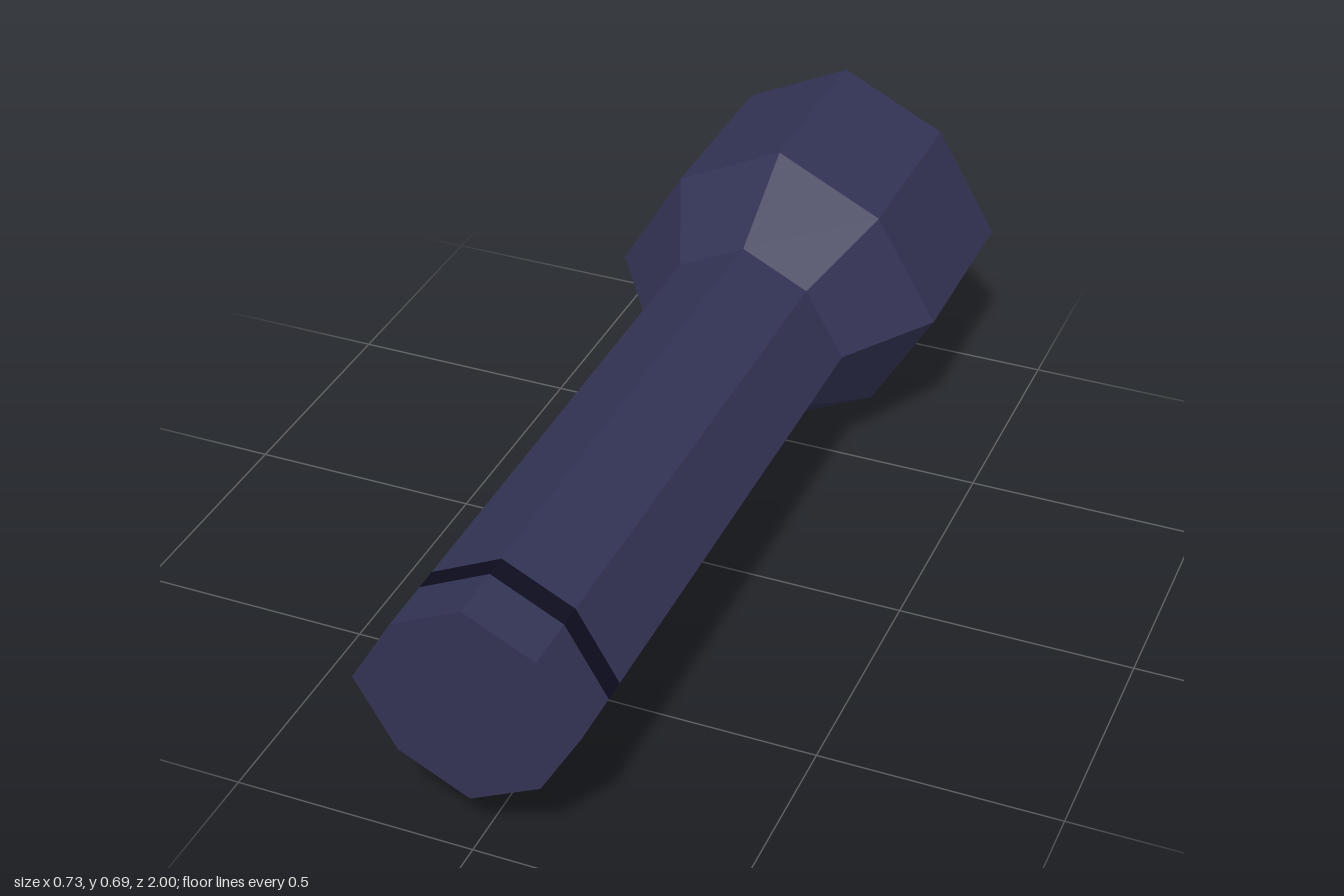
import * as THREE from 'three';

const CENTER_Y = 0.344;
// Unit octagon, slightly narrowed on its diagonals, counter-clockwise from +z
const OCTAGON = [[1, 0], [0.63, 0.67], [0, 1], [-0.63, 0.67], [-1, 0], [-0.63, -0.67], [0, -1], [0.63, -0.67]];
const BODY = [0.23, 0.217];
const HEAD = [0.366, 0.343];

const material = (name, color) => {
  const m = new THREE.MeshStandardMaterial({ color, flatShading: true });
  m.name = name;
  return m;
};

// Open eight-sided wall between a front and a back section
function wall(front, zFront, back, zBack) {
  const ring = (size, z) => OCTAGON.map(([x, y]) => [x * size[0], y * size[1], z]);
  const f = ring(front, zFront), b = ring(back, zBack), positions = [];
  for (let i = 0; i < 8; i++) {
    const j = (i + 1) % 8;
    positions.push(...f[i], ...b[i], ...f[j], ...f[j], ...b[i], ...b[j]);
  }
  const g = new THREE.BufferGeometry();
  g.setAttribute('position', new THREE.Float32BufferAttribute(positions, 3));
  g.computeVertexNormals();
  return g;
}

// Flat octagonal end, facing +z
function cap(size) {
  return new THREE.ShapeGeometry(new THREE.Shape(
    OCTAGON.map(([x, y]) => new THREE.Vector2(x * size[0], y * size[1]))));
}

export function createModel() {
  const casing = material('dark blue casing', 0x333355);
  const black = material('black band', 0x0d0d20);
  const glass = material('pale lens', 0xd8d8d8);

  const model = new THREE.Group();
  model.name = 'flashlight';
  const add = (name, geometry, mat) => {
    const mesh = new THREE.Mesh(geometry, mat);
    mesh.name = name;
    mesh.position.y = CENTER_Y;
    model.add(mesh);
  };

  // Handle with the band set flush near its end
  add('endCap', cap(BODY).translate(0, 0, 1), casing);
  add('tail', wall(BODY, 1, BODY, 0.88), casing);
  add('band', wall(BODY, 0.88, BODY, 0.83), black);
  add('handle', wall(BODY, 0.83, BODY, -0.365), casing);

  // Flared head and lens
  add('flare', wall(BODY, -0.365, HEAD, -0.575), casing);
  add('head', wall(HEAD, -0.575, HEAD, -1), casing);
  add('lens', cap(HEAD).rotateY(Math.PI).translate(0, 0, -1), glass);

  return model;
}
